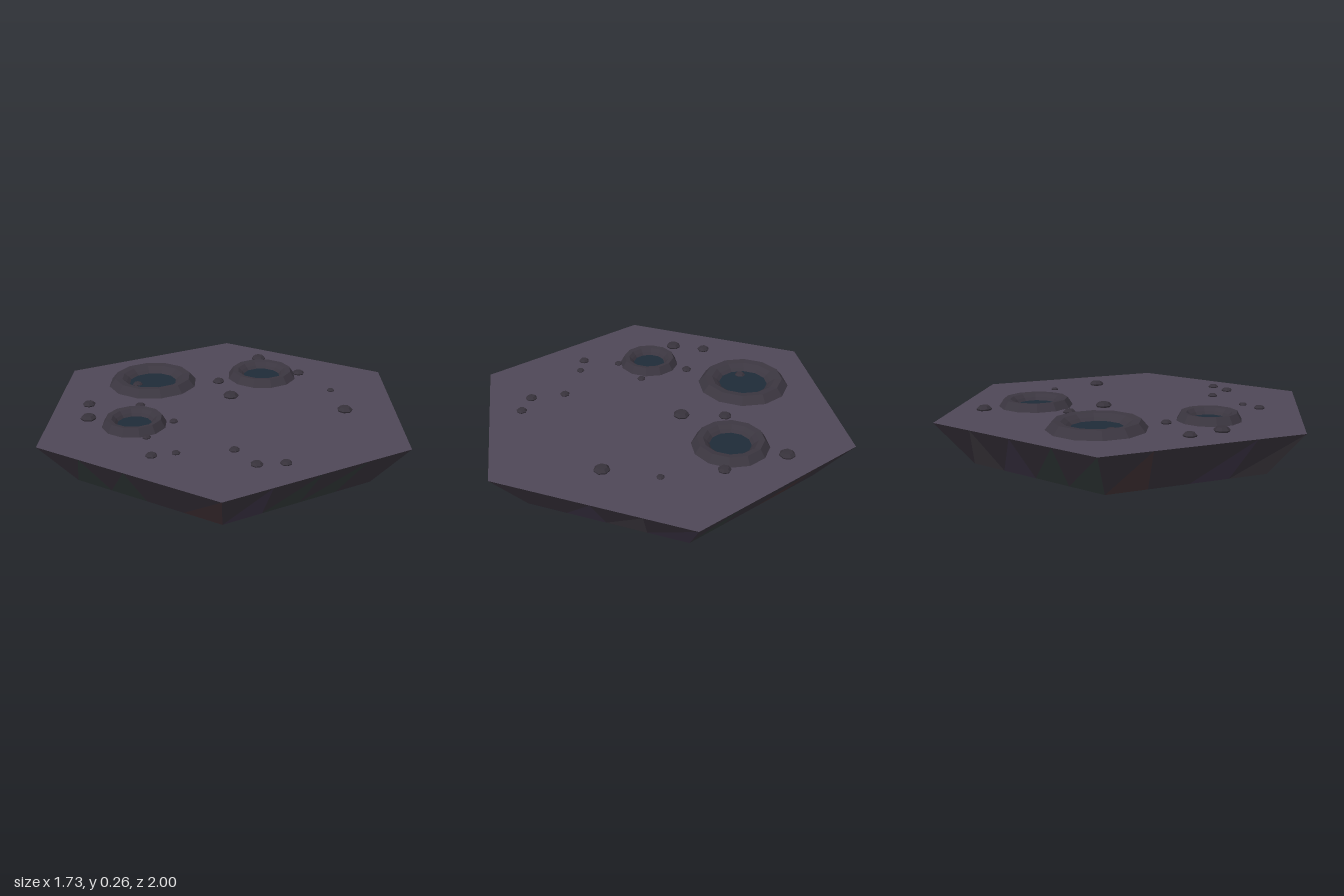
import * as THREE from 'three';

const TOP = 0.22;      // height of the ground surface
const R_TOP = 1;       // hexagon corner radius, upper and lower
const R_BOTTOM = 0.81;

const flat = (color) => new THREE.MeshStandardMaterial({ color, flatShading: true });

function add(parent, name, geometry, material, x = 0, y = 0, z = 0) {
  const mesh = new THREE.Mesh(geometry, material);
  mesh.name = name;
  mesh.position.set(x, y, z);
  parent.add(mesh);
  return mesh;
}

// Faceted solid of revolution; profile runs from the outside bottom inward
function faceted(profile, sides) {
  const points = profile.map(([r, y]) => new THREE.Vector2(r, y));
  return new THREE.LatheGeometry(points, sides, Math.PI / sides);
}

// Hexagonal slab: two caps and sloping sides cut into tinted triangles
function buildSlab() {
  const slab = new THREE.Group();
  slab.name = 'slab';

  const cap = (r) => new THREE.CircleGeometry(r, 6, Math.PI / 2);
  add(slab, 'groundSurface', cap(R_TOP).rotateX(-Math.PI / 2), flat(0x4f4757), 0, TOP, 0);
  add(slab, 'underside', cap(R_BOTTOM).rotateX(Math.PI / 2), flat(0x3a363c));

  const corner = (k, r, y) => {
    const a = (k * Math.PI) / 3;
    return new THREE.Vector3(Math.sin(a) * r, y, Math.cos(a) * r);
  };
  const tints = [0x3a343e, 0x343c3c, 0x40374a, 0x453439, 0x444047];
  const order = [2, 1, 1, 0, 3, 0, 2, 4];
  const triangles = tints.map(() => []);
  const steps = 4;
  for (let k = 0; k < 6; k++) {
    const at = (r, y, t) => corner(k, r, y).lerp(corner(k + 1, r, y), t);
    for (let i = 0; i < steps; i++) {
      const bl = at(R_BOTTOM, 0, i / steps);
      const br = at(R_BOTTOM, 0, (i + 1) / steps);
      const tl = at(R_TOP, TOP, i / steps);
      const tr = at(R_TOP, TOP, (i + 1) / steps);
      triangles[order[(k * 5 + i) % order.length]].push(bl, br, tr);
      triangles[0].push(bl, tr, tl);
    }
  }
  triangles.forEach((points, i) => {
    const geometry = new THREE.BufferGeometry().setFromPoints(points);
    geometry.computeVertexNormals();
    add(slab, 'sideFacets' + (i + 1), geometry, flat(tints[i]));
  });
  return slab;
}

// Raised ring with a dark pool inside
function buildCrater(x, z, r) {
  const crater = new THREE.Group();
  crater.name = 'crater';
  crater.position.set(x, TOP, z);
  const rimMaterial = flat(0x3b3640);
  rimMaterial.side = THREE.DoubleSide;
  const rim = [[r, 0], [r * 0.86, 0.04], [r * 0.7, 0.036], [r * 0.6, 0.02], [r * 0.53, 0.004]];
  add(crater, 'craterRim', faceted(rim, 12), rimMaterial);
  const pool = new THREE.CircleGeometry(r * 0.54, 12, Math.PI / 12).rotateX(-Math.PI / 2);
  add(crater, 'craterPool', pool, flat(0x1f2b38), 0, 0.005, 0);
  return crater;
}

export function createModel() {
  const model = new THREE.Group();
  model.name = 'craterTile';
  model.add(buildSlab());

  // Craters: x, z, radius
  [[-0.4, -0.325, 0.24], [0.2, -0.435, 0.19], [-0.44, 0.235, 0.16]]
    .forEach((c) => model.add(buildCrater(...c)));

  // Pebbles: x, z, radius
  const pebbles = [
    [0.19, -0.71, 0.04], [0.41, -0.47, 0.033], [-0.04, -0.335, 0.033], [0.03, -0.125, 0.042],
    [0.565, -0.215, 0.02], [0.61, 0.055, 0.04], [-0.7, 0, 0.034], [-0.675, 0.175, 0.04],
    [-0.435, 0.01, 0.027], [-0.25, 0.205, 0.022], [-0.365, 0.39, 0.022], [-0.325, 0.585, 0.028],
    [-0.215, 0.555, 0.021], [0.05, 0.52, 0.026], [0.15, 0.665, 0.03], [0.28, 0.65, 0.028],
    [-0.48, -0.285, 0.028],
  ];
  const pebbleShape = faceted([[0.9, 0], [1, 0.2], [0.65, 0.55], [0, 0.58]], 7);
  const pebbleMaterial = flat(0x37323b);
  pebbleMaterial.side = THREE.DoubleSide;
  pebbles.forEach(([x, z, r], i) => {
    const pebble = add(model, 'pebble' + (i + 1), pebbleShape, pebbleMaterial, x, TOP, z);
    pebble.scale.setScalar(r);
    pebble.rotation.y = i * 1.3;
  });
  return model;
}
